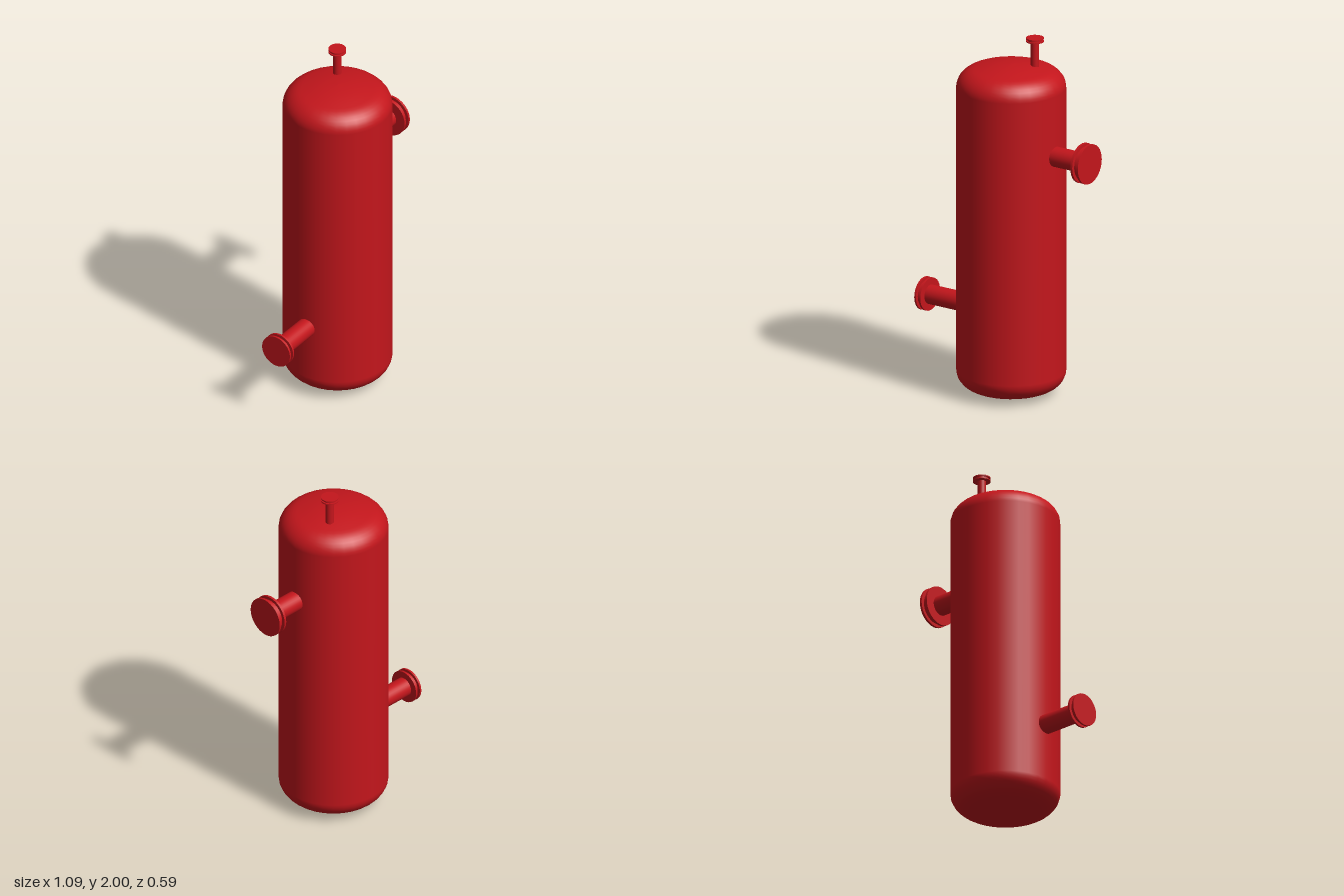
import * as THREE from 'three';

const material = new THREE.MeshStandardMaterial({ color: 0xc4161c });

// Pipe with a double-rimmed flange, running along local +y from the origin.
function nozzle(name, { length, pipe, rim, neck, flange, disc }) {
  const group = new THREE.Group();
  group.name = name;
  const add = (part, radius, from, to) => {
    const mesh = new THREE.Mesh(new THREE.CylinderGeometry(radius, radius, to - from, 32), material);
    mesh.position.y = (from + to) / 2;
    mesh.name = part;
    group.add(mesh);
  };
  add('pipe', pipe, 0, length - flange + disc / 2);
  add('innerFlange', rim, length - flange, length - flange + disc);
  add('flangeGasket', neck, length - flange + disc, length - disc);
  add('blindCover', rim, length - disc, length);
  return group;
}

export function createModel() {
  const model = new THREE.Group();
  model.name = 'pressureVessel';

  // Vessel: straight shell with shallow dished heads
  const cx = 0.027, R = 0.295, height = 1.853, head = 0.13, knuckle = 0.1;
  const crown = R - knuckle;
  const lower = [new THREE.Vector2(0, 0)];
  for (let i = 1; i <= 4; i++) {
    const r = (crown * i) / 4;
    lower.push(new THREE.Vector2(r, 0.025 * (r / crown) ** 2));
  }
  for (let i = 1; i <= 8; i++) {
    const a = 0.2 + (i / 8) * (Math.PI / 2 - 0.2);
    const t = (Math.sin(a) - Math.sin(0.2)) / (1 - Math.sin(0.2));
    const u = 1 - Math.cos(a) / Math.cos(0.2);
    lower.push(new THREE.Vector2(crown + knuckle * t, 0.025 + (head - 0.025) * u));
  }
  const upper = lower.map(p => new THREE.Vector2(p.x, height - p.y)).reverse();
  const vessel = new THREE.Mesh(new THREE.LatheGeometry([...lower, ...upper], 32), material);
  vessel.name = 'vessel';
  vessel.position.x = cx;
  model.add(vessel);

  // Upper side nozzle
  const outlet = nozzle('upperNozzle', { length: 0.245, pipe: 0.055, rim: 0.11, neck: 0.092, flange: 0.05, disc: 0.013 });
  outlet.position.set(0.3, 1.385, 0);
  outlet.rotation.z = -Math.PI / 2;
  model.add(outlet);

  // Lower side nozzle
  const inlet = nozzle('lowerNozzle', { length: 0.3, pipe: 0.053, rim: 0.091, neck: 0.074, flange: 0.04, disc: 0.011 });
  inlet.position.set(-0.247, 0.447, 0);
  inlet.rotation.z = Math.PI / 2;
  model.add(inlet);

  // Small vent on the top head
  const vent = nozzle('topVent', { length: 0.18, pipe: 0.023, rim: 0.048, neck: 0.039, flange: 0.022, disc: 0.006 });
  vent.position.set(0.13, 1.82, -0.074);
  model.add(vent);

  return model;
}
